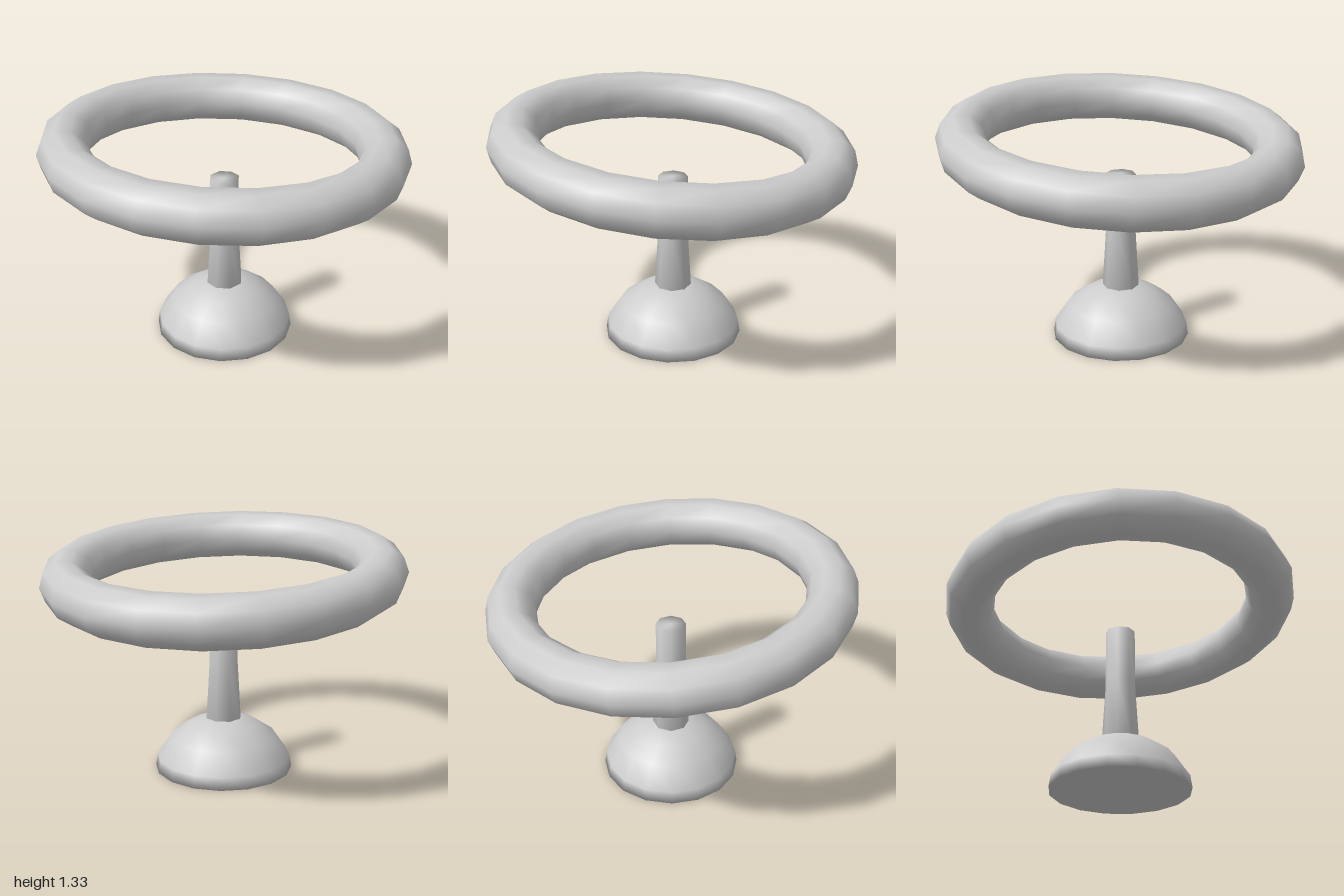
import * as THREE from 'three';

export function createModel() {
  const model = new THREE.Group();
  const grey = new THREE.MeshStandardMaterial({ color: 0xcccccc });
  grey.name = 'light grey';

  const add = (name, geometry) => {
    const mesh = new THREE.Mesh(geometry, grey);
    mesh.name = name;
    model.add(mesh);
    return mesh;
  };
  // Closed, smooth turned shape from [radius, height] pairs, bottom to top
  const turned = (profile, sides) =>
    new THREE.LatheGeometry(profile.map(([r, y]) => new THREE.Vector2(r, y)), sides);

  // Domed foot with a flat underside
  add('base', turned([
    [0, 0], [0.387, 0], [0.376, 0.07], [0.297, 0.187],
    [0.195, 0.257], [0.104, 0.293], [0, 0.305],
  ], 16));

  // Octagonal stem, flared toward the foot, flat on top
  add('stem', turned([
    [0, 0.27], [0.104, 0.27], [0.083, 0.62], [0.083, 0.95], [0, 0.95],
  ], 8));

  // Floating ring, tilted so the front sits higher
  const ring = add('ring', new THREE.TorusGeometry(0.863, 0.137, 10, 20).rotateX(Math.PI / 2));
  ring.position.y = 1.125;
  ring.rotation.x = -0.08;

  return model;
}
